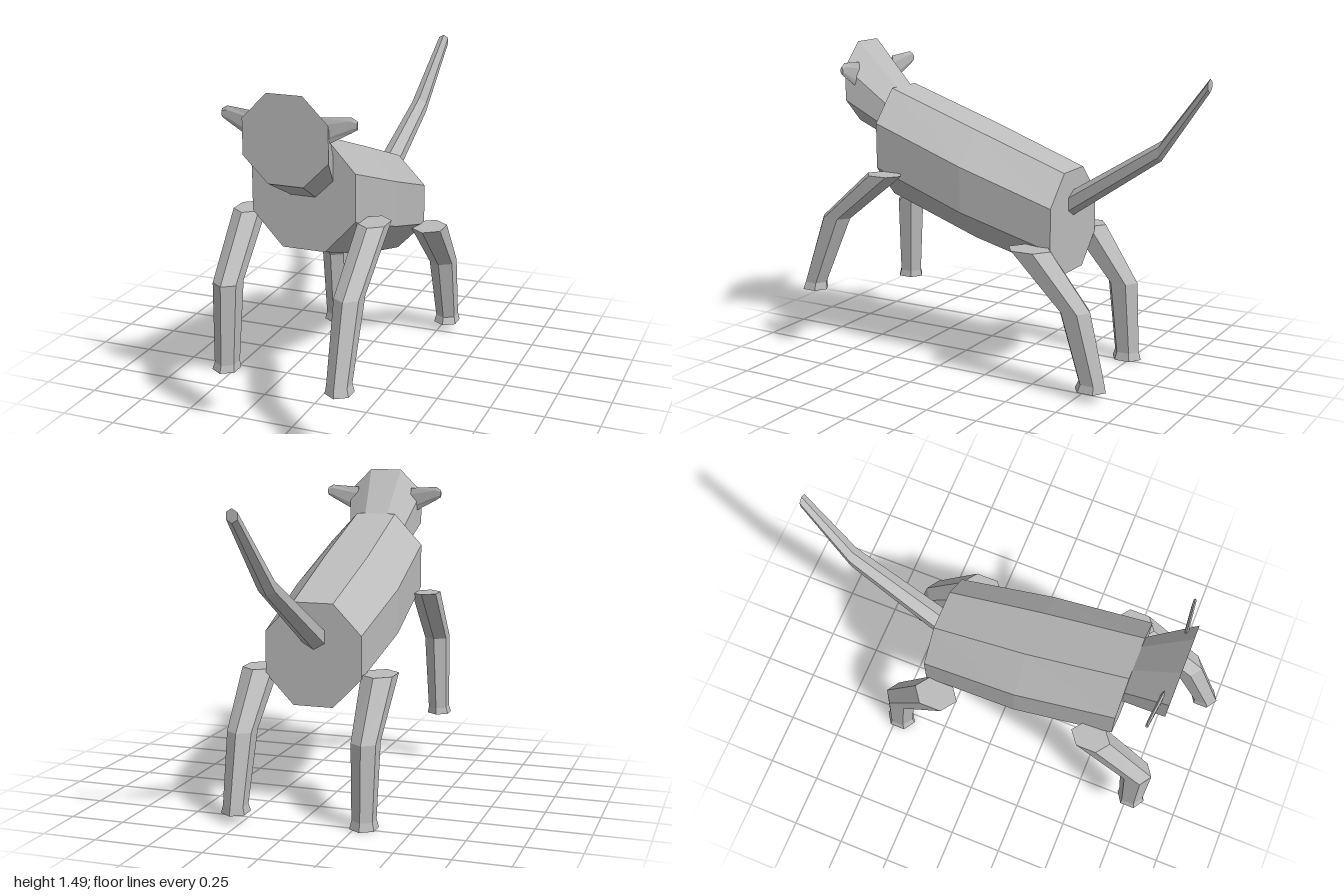
import * as THREE from 'three';

const AXES = {
  x: [new THREE.Vector3(0, 1, 0), new THREE.Vector3(0, 0, 1)],
  y: [new THREE.Vector3(0, 0, 1), new THREE.Vector3(1, 0, 0)],
  z: [new THREE.Vector3(1, 0, 0), new THREE.Vector3(0, 1, 0)],
};

// Flat-faced loft through capped polygons, each lying square to one axis.
// Ring: [centre x, y, z, radius along first axis, radius along second axis]
function loft(axis, sides, rings, phase = 0) {
  const [u, v] = AXES[axis];
  const list = rings.map((r) => ({ c: new THREE.Vector3(r[0], r[1], r[2]), ru: r[3], rv: r[4] }));
  if (list[list.length - 1].c[axis] < list[0].c[axis]) list.reverse();
  const pts = list.map(({ c, ru, rv }) => Array.from({ length: sides }, (_, i) => {
    const a = phase + (i / sides) * Math.PI * 2;
    return c.clone().addScaledVector(u, ru * Math.cos(a)).addScaledVector(v, rv * Math.sin(a));
  }));
  const pos = [];
  const tri = (...ps) => ps.forEach((p) => pos.push(p.x, p.y, p.z));
  const last = pts.length - 1;
  for (let i = 0; i < sides; i++) {
    const j = (i + 1) % sides;
    for (let k = 0; k < last; k++) {
      tri(pts[k][i], pts[k][j], pts[k + 1][j]);
      tri(pts[k][i], pts[k + 1][j], pts[k + 1][i]);
    }
    tri(list[0].c, pts[0][j], pts[0][i]);
    tri(list[last].c, pts[last][i], pts[last][j]);
  }
  const geo = new THREE.BufferGeometry();
  geo.setAttribute('position', new THREE.Float32BufferAttribute(pos, 3));
  geo.computeVertexNormals();
  return geo;
}

export function createModel() {
  const group = new THREE.Group();
  group.name = 'animal';
  const grey = new THREE.MeshStandardMaterial({ color: 0xbcbcbc });
  grey.name = 'grey';
  grey.flatShading = true;
  const add = (name, geo) => {
    const mesh = new THREE.Mesh(geo, grey);
    mesh.name = name;
    group.add(mesh);
  };

  // Octagons sit on a flat side; sizes are half width and half height
  const octagons = (rows) => {
    const k = 1 / Math.cos(Math.PI / 8);
    return loft('z', 8, rows.map(([x, y, z, w, h]) => [x, y, z, w * k, h * k]), Math.PI / 8);
  };

  // Body slopes down to the rump
  add('body', octagons([
    [-0.003, 1.025, 0.593, 0.237, 0.255],
    [-0.003, 0.865, 0.13, 0.253, 0.255],
    [0.003, 0.725, -0.327, 0.227, 0.235],
  ]));

  // Head flares out to a flat face
  add('head', octagons([
    [-0.004, 1.145, 0.593, 0.138, 0.135],
    [0.006, 1.3, 0.79, 0.19, 0.19],
  ]));

  // Thin ears
  for (const [name, s, off] of [['leftEar', 1, 0.004], ['rightEar', -1, -0.006]]) {
    add(name, loft('x', 6, [
      [s * 0.14, 1.335, 0.75, 0.065, 0.009],
      [s * 0.27 + off, 1.376, 0.736, 0.033, 0.008],
      [s * 0.295 + off, 1.376, 0.734, 0.018, 0.007],
    ]));
  }

  // Tail, a hexagon with a ridge on top
  add('tail', loft('z', 6, [
    [0, 0.805, -0.32, 0.06, 0.06],
    [0.045, 1.095, -0.77, 0.043, 0.045],
    [0.095, 1.4, -1.0, 0.028, 0.03],
  ], Math.PI / 2));

  // Hexagonal legs from hip to knee, ankle and foot: [x, y, z, half depth, half width]
  const legs = {
    leftFrontLeg: [
      [0.29, 0.905, 0.513, 0.092, 0.06], [0.288, 0.67, 0.795, 0.077, 0.055],
      [0.295, 0.335, 0.926, 0.06, 0.046], [0.298, 0.3, 0.93, 0.068, 0.053],
    ],
    rightFrontLeg: [
      [-0.29, 0.905, 0.513, 0.092, 0.06], [-0.288, 0.64, 0.753, 0.075, 0.055],
      [-0.298, 0.272, 0.765, 0.06, 0.046], [-0.3, 0.24, 0.768, 0.068, 0.053],
    ],
    leftBackLeg: [
      [0.282, 0.645, -0.25, 0.106, 0.072], [0.284, 0.395, -0.478, 0.077, 0.058],
      [0.284, 0.075, -0.565, 0.064, 0.048], [0.285, 0.04, -0.56, 0.076, 0.056],
    ],
    rightBackLeg: [
      [-0.287, 0.645, -0.25, 0.106, 0.072], [-0.285, 0.38, -0.452, 0.075, 0.057],
      [-0.287, 0.038, -0.478, 0.062, 0.048], [-0.287, 0, -0.478, 0.074, 0.057],
    ],
  };
  const k = 1 / Math.cos(Math.PI / 6);
  for (const [name, rows] of Object.entries(legs)) {
    add(name, loft('y', 6, rows.map(([x, y, z, d, w]) => [x, y, z, d, w * k])));
  }
  return group;
}
